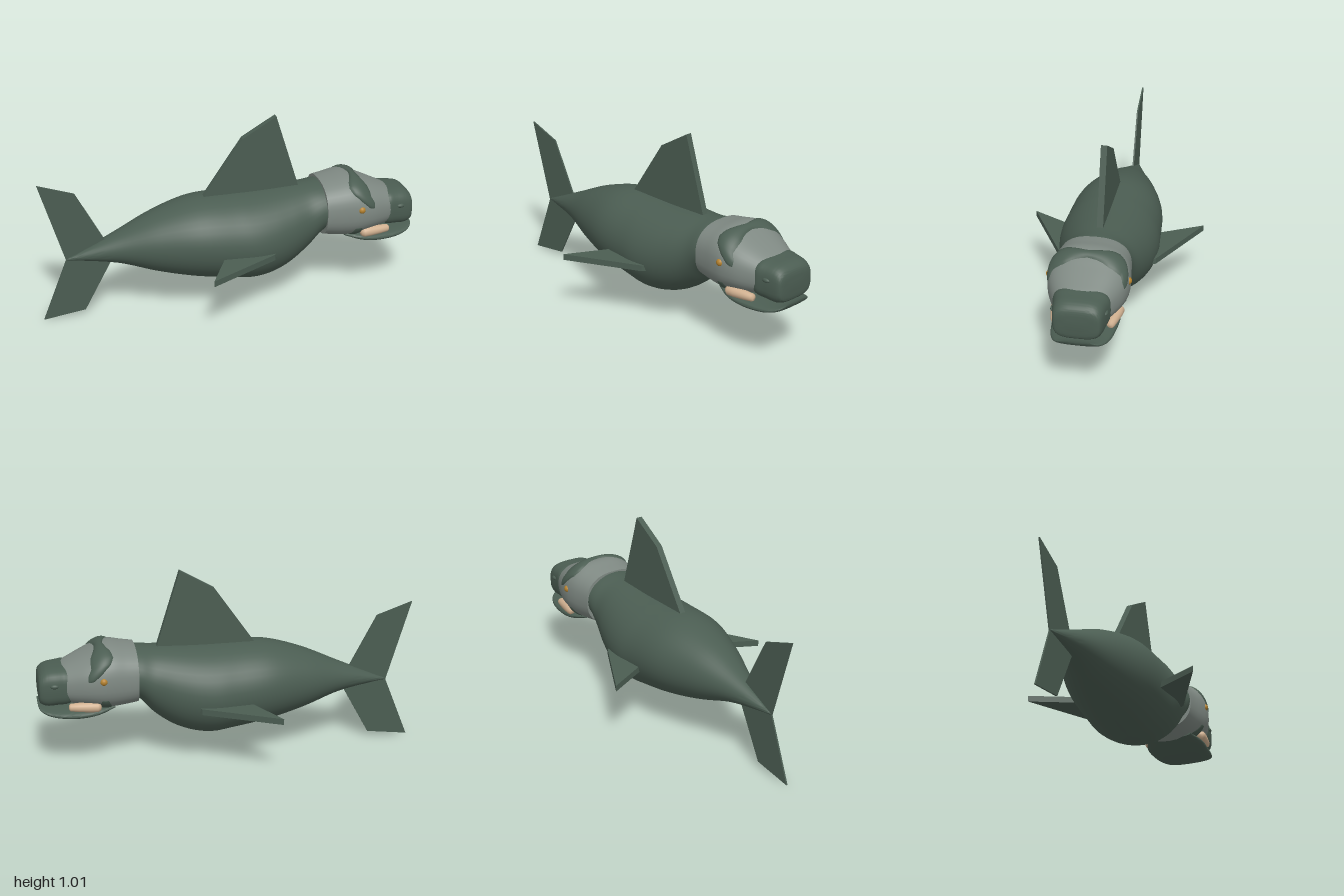
import * as THREE from 'three';
import { toCreasedNormals } from 'three/addons/utils/BufferGeometryUtils.js';

const mat = (name, color, side = THREE.FrontSide) => {
  const m = new THREE.MeshStandardMaterial({ color, side });
  m.name = name;
  return m;
};

// Smooths a short list of [x, top, bottom, halfWidth] sections into a dense one
function smoothSections(rings, steps) {
  const a = new THREE.CatmullRomCurve3(rings.map(r => new THREE.Vector3(r[0], r[1], r[2])), false, 'catmullrom');
  const b = new THREE.CatmullRomCurve3(rings.map(r => new THREE.Vector3(r[3], 0, 0)), false, 'catmullrom');
  const out = [];
  for (let i = 0; i <= steps; i++) {
    const p = a.getPoint(i / steps);
    out.push([p.x, p.y, p.z, Math.max(0.001, b.getPoint(i / steps).x)]);
  }
  return out;
}

// Point on a superellipse section; angle 0 is +z and PI/2 is up
function sectionPoint([x, top, bottom, w], angle, power, offset = 0) {
  const c = Math.cos(angle), s = Math.sin(angle), e = 2 / power;
  return [
    x,
    (top + bottom) / 2 + ((top - bottom) / 2 + offset) * Math.sign(s) * Math.abs(s) ** e,
    (w + offset) * Math.sign(c) * Math.abs(c) ** e,
  ];
}

function buildGeometry(pos, idx) {
  const g = new THREE.BufferGeometry();
  g.setAttribute('position', new THREE.Float32BufferAttribute(pos, 3));
  g.setIndex(idx);
  g.computeVertexNormals();
  return g;
}

// Closed tube through the sections, capped at both ends
function loft(sections, power, sides = 40) {
  const pos = [], idx = [], n = sections.length;
  for (const s of sections)
    for (let j = 0; j < sides; j++) pos.push(...sectionPoint(s, (j / sides) * Math.PI * 2, power));
  for (let i = 0; i < n - 1; i++)
    for (let j = 0; j < sides; j++) {
      const k = (j + 1) % sides, a = i * sides, b = a + sides;
      idx.push(a + j, b + j, b + k, a + j, b + k, a + k);
    }
  const first = n * sides;
  for (const s of [sections[0], sections[n - 1]]) pos.push(s[0], (s[1] + s[2]) / 2, 0);
  for (let j = 0; j < sides; j++) {
    const k = (j + 1) % sides, e = (n - 1) * sides;
    idx.push(first, j, k, first + 1, e + k, e + j);
  }
  return toCreasedNormals(buildGeometry(pos, idx), 0.8);
}

// Raised patch lying on a lofted surface, between range(t) = [x0, x1]
function patch(sections, power, a0, a1, range, bulge) {
  const at = x => {
    let i = 0;
    while (i < sections.length - 2 && sections[i + 1][0] < x) i++;
    const p = sections[i], q = sections[i + 1], t = (x - p[0]) / (q[0] - p[0]);
    return p.map((v, k) => v + (q[k] - v) * t);
  };
  const pos = [], idx = [], nu = 48, nv = 12;
  for (let u = 0; u <= nu; u++) {
    const angle = a0 + (a1 - a0) * u / nu, [x0, x1] = range(u / nu);
    for (let v = 0; v <= nv; v++) {
      const lift = -0.003 + bulge * Math.sin(Math.PI * v / nv) ** 0.5 * Math.sin(Math.PI * u / nu) ** 0.3;
      pos.push(...sectionPoint(at(x0 + (x1 - x0) * v / nv), angle, power, lift));
      if (u < nu && v < nv) {
        const a = u * (nv + 1) + v, b = a + nv + 1;
        idx.push(a, a + 1, b + 1, a, b + 1, b);
      }
    }
  }
  return buildGeometry(pos, idx);
}

// Flat plate from an outline, centred on its thickness
function plate(points, depth) {
  const shape = new THREE.Shape(points.map(p => new THREE.Vector2(...p)));
  return new THREE.ExtrudeGeometry(shape, { depth, bevelEnabled: false }).translate(0, 0, -depth / 2);
}

export function createModel() {
  const model = new THREE.Group();
  const skin = mat('dark green skin', 0x4b5d52);
  const skinPatch = mat('dark green marking', 0x4b5d52, THREE.DoubleSide);
  const armor = mat('grey head', 0x7f8983);
  const ivory = mat('tan tusk', 0xd0b090);
  const gold = mat('gold eye', 0xb5822e);
  const add = (name, geometry, material) => {
    const m = new THREE.Mesh(geometry, material);
    m.name = name;
    model.add(m);
    return m;
  };

  // Body, from the tail root to the neck
  add('body', loft(smoothSections([
    [-0.87, 0.342, 0.334, 0.003], [-0.8, 0.372, 0.327, 0.025], [-0.6, 0.462, 0.295, 0.092],
    [-0.4, 0.552, 0.23, 0.172], [-0.2, 0.608, 0.182, 0.235], [0, 0.614, 0.15, 0.255],
    [0.1, 0.614, 0.138, 0.26], [0.2, 0.616, 0.152, 0.247], [0.3, 0.62, 0.192, 0.22],
    [0.4, 0.624, 0.265, 0.187], [0.47, 0.63, 0.345, 0.178], [0.53, 0.63, 0.38, 0.175],
  ], 66), 2), skin);

  // Head, muzzle and lower jaw
  const head = smoothSections([
    [0.49, 0.638, 0.345, 0.182], [0.55, 0.648, 0.336, 0.19], [0.62, 0.66, 0.33, 0.2],
    [0.68, 0.65, 0.335, 0.202], [0.75, 0.618, 0.35, 0.188], [0.82, 0.586, 0.36, 0.158],
    [0.87, 0.563, 0.37, 0.132], [0.91, 0.54, 0.38, 0.1],
  ], 42);
  add('head', loft(head, 2.5), armor);
  add('muzzle', loft(smoothSections([
    [0.81, 0.54, 0.38, 0.12], [0.85, 0.562, 0.365, 0.14], [0.9, 0.56, 0.36, 0.133],
    [0.95, 0.554, 0.356, 0.125], [0.982, 0.535, 0.367, 0.116], [0.994, 0.51, 0.385, 0.1],
    [0.998, 0.47, 0.43, 0.05],
  ], 36), 3.4), skin);
  add('lowerJaw', loft(smoothSections([
    [0.61, 0.365, 0.335, 0.13], [0.7, 0.36, 0.305, 0.163], [0.8, 0.352, 0.29, 0.16],
    [0.9, 0.347, 0.298, 0.145], [0.96, 0.35, 0.315, 0.122], [0.99, 0.357, 0.335, 0.095],
    [1.0, 0.361, 0.352, 0.07],
  ], 36), 2.4), skin);

  // Dark ridge across the brow, sweeping down in front of each eye
  const lerpList = (list, t) => {
    const i = Math.min(list.length - 2, Math.floor(t * (list.length - 1)));
    return THREE.MathUtils.lerp(list[i], list[i + 1], t * (list.length - 1) - i);
  };
  const browBack = [0.655, 0.64, 0.62, 0.612, 0.628, 0.67, 0.725];
  const browFront = [0.7, 0.712, 0.73, 0.735, 0.735, 0.752, 0.75];
  add('brow', patch(head, 2.5, 0.12, Math.PI - 0.12, t => {
    const s = Math.abs(t * 2 - 1);
    return [lerpList(browBack, s), lerpList(browFront, s)];
  }, 0.016), skinPatch);

  // Paired parts: cheeks, eyes, nostrils, tusks, side fins
  for (const side of [1, -1]) {
    const label = side > 0 ? 'left' : 'right';
    const [a0, a1] = side > 0 ? [-1.35, -0.45] : [Math.PI + 0.45, Math.PI + 1.35];
    add(label + 'CheekMarking', patch(head, 2.5, a0, a1, t => {
      const low = side > 0 ? 1 - t : t;
      return [0.645 - 0.04 * low, 0.685 + 0.02 * low];
    }, 0.009), skinPatch);

    add(label + 'Eye', new THREE.SphereGeometry(0.02, 20, 14), gold).position.set(0.672, 0.517, side * 0.192);
    const nostril = add(label + 'Nostril', new THREE.SphereGeometry(0.02, 16, 10), skin);
    nostril.scale.set(1.1, 0.6, 0.6);
    nostril.position.set(0.915, 0.483, side * 0.127);

    const tusk = add(label + 'Tusk', new THREE.LatheGeometry([
      [0, -0.085], [0.016, -0.082], [0.026, -0.068], [0.027, -0.03], [0.024, 0.03], [0.02, 0.072], [0.014, 0.08], [0, 0.082],
    ].map(p => new THREE.Vector2(...p)), 20), ivory);
    tusk.position.set(0.768, 0.367, side * 0.146);
    tusk.rotation.set(0, side * 0.14, -Math.PI / 2);

    const fin = add(label + 'SideFin', plate([
      [-0.2, side * -0.46], [0.18, side * -0.258], [0.215, side * -0.2], [-0.05, side * -0.17],
    ], 0.032), skin);
    fin.rotation.x = -Math.PI / 2;
    fin.position.y = 0.337;
  }
  // Side fin outlines are drawn with z flipped, so the names swap with the plate's rotation
  // Dorsal fin
  add('dorsalFin', plate([
    [-0.14, 0.61], [-0.1, 0.56], [0.36, 0.56], [0.375, 0.62], [0.25, 1.02], [0.07, 0.915],
  ], 0.032), skin);

  // Thin forked tail
  add('tailFin', plate([
    [-0.87, 0.335], [-1, 0.005], [-0.78, 0.035], [-0.62, 0.33], [-0.67, 0.44], [-0.81, 0.705], [-1, 0.77],
  ], 0.008), skin);
  return model;
}
